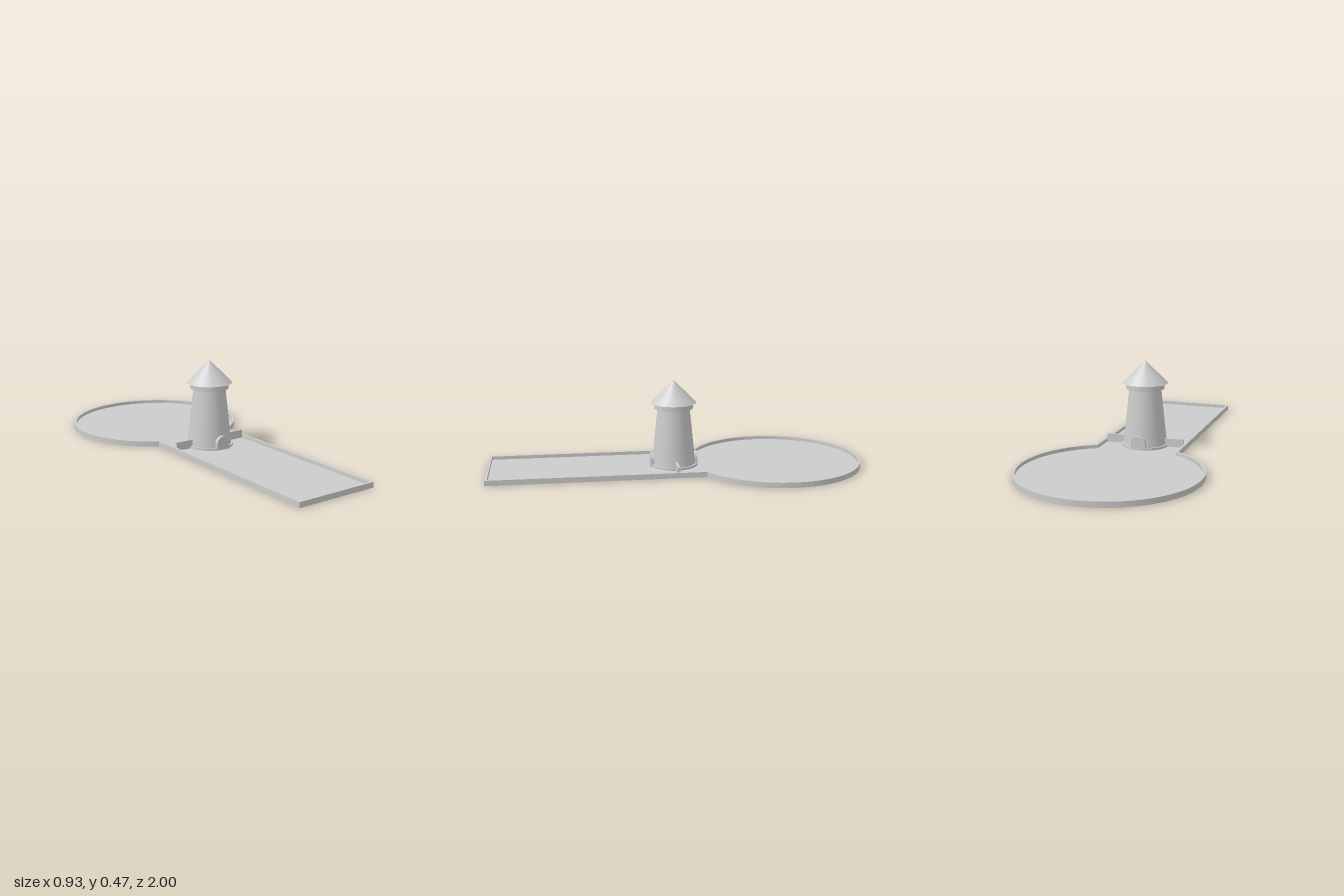
import * as THREE from 'three';
import { toCreasedNormals } from 'three/addons/utils/BufferGeometryUtils.js';

const material = new THREE.MeshStandardMaterial({ color: 0xcccccc });
const FLOOR = 0.01, CURB = 0.028, CURB_WIDTH = 0.013;
const TOWER_Z = 0.015;

// Keyhole outline of lane and round green, inset by d; shape y points to -z
function courseShape(d, Type = THREE.Shape) {
  const half = 0.228 - d, radius = 0.465 - d, centre = 0.535;
  const a = Math.asin(half / radius);
  const shape = new Type();
  shape.moveTo(-half, -1 + d);
  shape.lineTo(half, -1 + d);
  shape.lineTo(half, centre - radius * Math.cos(a));
  shape.absarc(0, centre, radius, -Math.PI / 2 + a, Math.PI * 1.5 - a, false);
  shape.closePath();
  return shape;
}

function extrude(shape, depth) {
  const geometry = new THREE.ExtrudeGeometry(shape, { depth, bevelEnabled: false, curveSegments: 96 });
  return toCreasedNormals(geometry, 0.5);
}

export function createModel() {
  const model = new THREE.Group();
  const add = (name, geometry, x = 0, y = 0, z = 0) => {
    const mesh = new THREE.Mesh(geometry, material);
    mesh.name = name;
    mesh.position.set(x, y, z);
    model.add(mesh);
    return mesh;
  };

  // Floor slab and the raised curb around it
  add('floor', extrude(courseShape(CURB_WIDTH / 2), FLOOR).rotateX(-Math.PI / 2));
  const curb = courseShape(0);
  curb.holes.push(courseShape(CURB_WIDTH, THREE.Path));
  add('curb', extrude(curb, CURB).rotateX(-Math.PI / 2));

  // Round tower parts: bottom radius, top radius, bottom y, top y
  const round = (name, r0, r1, y0, y1) =>
    add(name, new THREE.CylinderGeometry(r1, r0, y1 - y0, 64), 0, (y0 + y1) / 2, TOWER_Z);
  round('towerBase', 0.127, 0.127, FLOOR - 0.002, 0.022);
  round('tower', 0.118, 0.085, FLOOR, 0.32);
  round('towerCollar', 0.102, 0.102, 0.32, 0.35);
  round('roof', 0.12, 0, 0.35, 0.471);

  // Arched passage running through the tower
  const arch = new THREE.Shape();
  arch.moveTo(-0.039, 0);
  arch.lineTo(0.039, 0);
  arch.lineTo(0.039, 0.034);
  arch.absarc(0, 0.034, 0.039, 0, Math.PI, false);
  arch.closePath();
  add('archway', extrude(arch, 0.25), 0, FLOOR, TOWER_Z - 0.123);

  // Low walls joining the tower to the curbs
  for (const side of [-1, 1]) {
    add(side > 0 ? 'leftWall' : 'rightWall',
      new THREE.BoxGeometry(0.125, 0.046, 0.013), side * 0.1525, 0.032, TOWER_Z);
  }
  return model;
}
